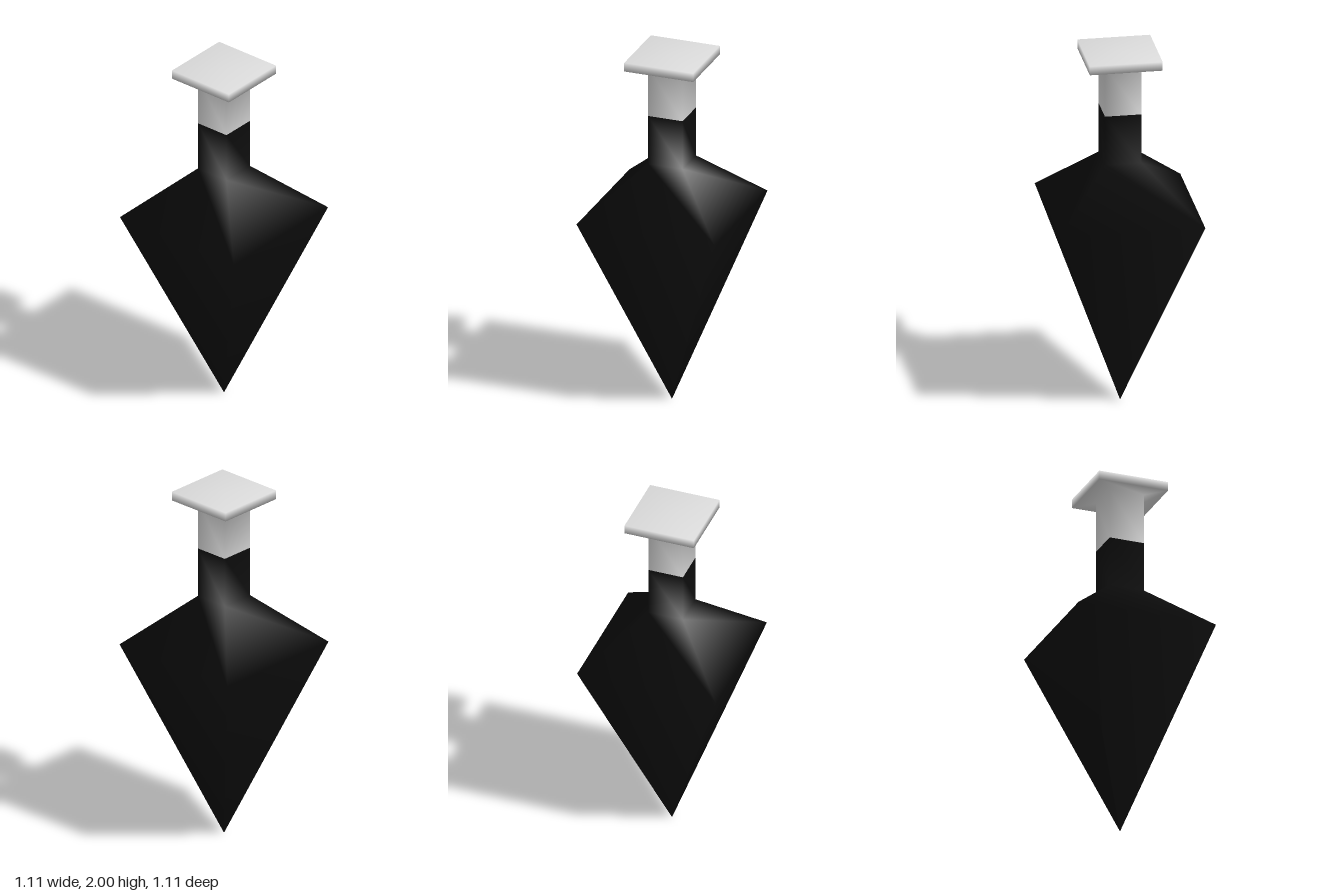
import * as THREE from 'three';

const black = new THREE.MeshStandardMaterial({ color: 0x0d0d0d });
black.name = 'black';
const paleGrey = new THREE.MeshStandardMaterial({ color: 0xdcdcdc });
paleGrey.name = 'pale grey';

// Four-sided smooth-shaded solid from a [radius, height] profile, corners on the axes
function squareLathe(name, profile, material) {
  const points = profile.map(([r, y]) => new THREE.Vector2(r, y));
  const mesh = new THREE.Mesh(new THREE.LatheGeometry(points, 4), material);
  mesh.name = name;
  return mesh;
}

export function createModel() {
  const model = new THREE.Group();
  model.name = 'spinningTop';

  // Pointed body with sloping shoulders and the lower half of the stem
  model.add(squareLathe('body', [
    [0, 0], [0.556, 1.111], [0.139, 1.389], [0.139, 1.667],
  ], black));

  // Upper stem flaring into the flat square cap
  model.add(squareLathe('stemAndCap', [
    [0.139, 1.667], [0.139, 1.95], [0.278, 1.95], [0.278, 2], [0, 2],
  ], paleGrey));

  return model;
}
